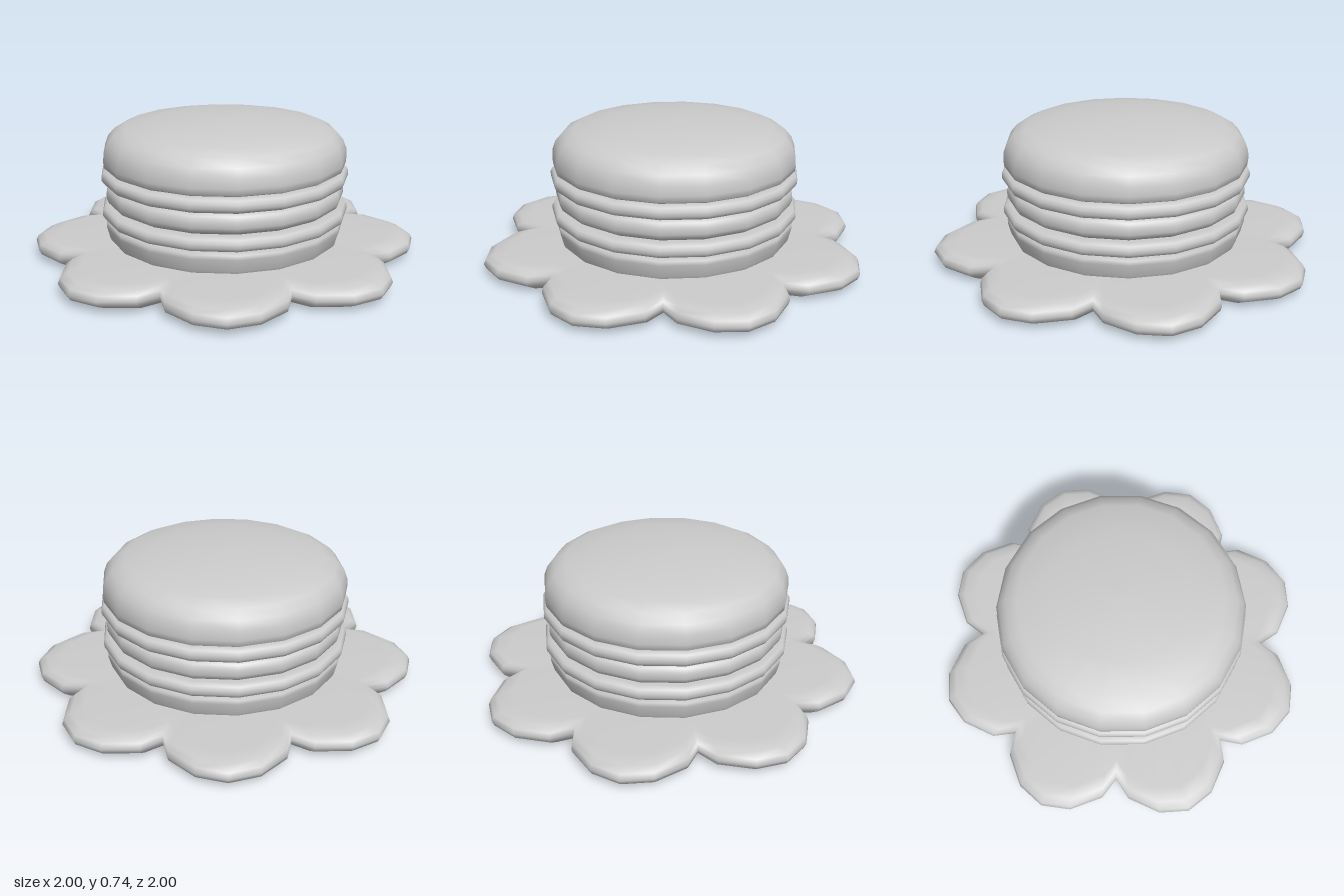
import * as THREE from 'three';

const SIDES = 18;
const PETALS = 8;

// Round layer turned from [radius, y] points, listed bottom to top
function layer(name, profile, material) {
  const points = profile.map(([r, y]) => new THREE.Vector2(r, y));
  const mesh = new THREE.Mesh(new THREE.LatheGeometry(points, SIDES, Math.PI / 2), material);
  mesh.name = name;
  return mesh;
}

// Flat disc with softly rounded rim
function patty(name, radius, y0, y1, material) {
  const h = y1 - y0;
  return layer(name, [
    [0, y0], [radius - 0.035, y0], [radius - 0.01, y0 + h * 0.14], [radius, y0 + h * 0.36],
    [radius, y0 + h * 0.64], [radius - 0.01, y0 + h * 0.86], [radius - 0.035, y1], [0, y1],
  ], material);
}

// Flower-shaped plate: one petal outline repeated, swept through a rounded edge
function flowerPlate(material) {
  const petal = [[-22.5, 0.775], [-18, 0.875], [-8.6, 0.967], [0, 1], [8.6, 0.967], [18, 0.875]];
  const outline = [];
  for (let k = 0; k < PETALS; k++) {
    for (const [deg, r] of petal) {
      const a = THREE.MathUtils.degToRad(deg + (k * 360) / PETALS);
      outline.push([r * Math.cos(a), -r * Math.sin(a)]);
    }
  }
  // [scale, y] of each ring, bottom centre to top centre
  const rings = [
    [0, 0], [0.55, 0], [0.87, 0.008], [0.95, 0.018], [0.988, 0.036], [1, 0.062],
    [0.988, 0.088], [0.95, 0.106], [0.88, 0.115], [0.55, 0.117], [0, 0.117],
  ];
  const n = outline.length;
  const positions = [];
  const index = [];
  rings.forEach(([s, y], i) => {
    for (const [x, z] of outline) positions.push(x * s, y, z * s);
    if (i === rings.length - 1) return;
    for (let j = 0; j < n; j++) {
      const a = i * n + j;
      const b = i * n + ((j + 1) % n);
      if (s > 0) index.push(a, b, b + n);
      if (rings[i + 1][0] > 0) index.push(a, b + n, a + n);
    }
  });
  const geometry = new THREE.BufferGeometry();
  geometry.setAttribute('position', new THREE.Float32BufferAttribute(positions, 3));
  geometry.setIndex(index);
  geometry.computeVertexNormals();
  const mesh = new THREE.Mesh(geometry, material);
  mesh.name = 'flowerPlate';
  return mesh;
}

export function createModel() {
  const group = new THREE.Group();
  group.name = 'burgerOnFlowerPlate';
  const grey = new THREE.MeshStandardMaterial({ color: 0xcccccc });

  group.add(flowerPlate(grey));

  // Stack of bun and fillings
  group.add(layer('bottomBun', [
    [0, 0.08], [0.58, 0.08], [0.605, 0.13], [0.62, 0.19], [0.62, 0.212], [0.605, 0.225], [0, 0.225],
  ], grey));
  group.add(patty('lowerFilling', 0.637, 0.225, 0.3, grey));
  group.add(patty('middleFilling', 0.615, 0.302, 0.409, grey));
  group.add(patty('upperFilling', 0.637, 0.41, 0.487, grey));
  group.add(layer('topBun', [
    [0, 0.49], [0.605, 0.49], [0.622, 0.5], [0.625, 0.53], [0.622, 0.575], [0.605, 0.62],
    [0.57, 0.66], [0.51, 0.69], [0.35, 0.718], [0.15, 0.732], [0, 0.735],
  ], grey));

  return group;
}
